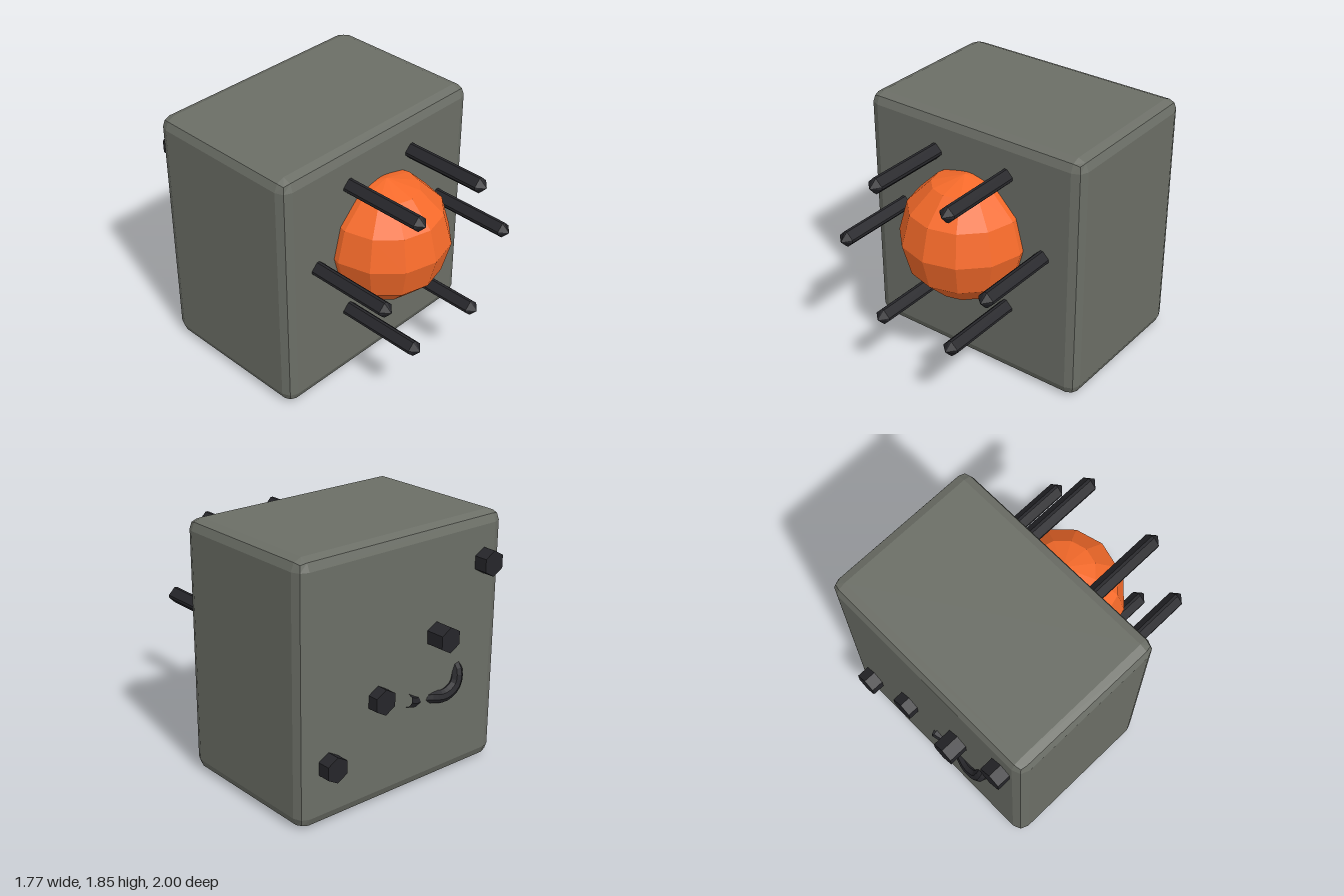
import * as THREE from 'three';
import { RoundedBoxGeometry } from 'three/addons/geometries/RoundedBoxGeometry.js';

const material = (color) => {
  const m = new THREE.MeshStandardMaterial({ color });
  m.flatShading = true;
  return m;
};

// Pointed bar along +z whose cross-section is a diamond with clipped corners
function pinGeometry(length, radius, tip) {
  const profile = [[0, 0], [radius, 0], [radius, length - tip], [radius * 0.08, length], [0, length]]
    .map(([r, h]) => new THREE.Vector2(r, h));
  const geo = new THREE.LatheGeometry(profile, 8, Math.PI / 8);
  const p = geo.attributes.position;
  for (let i = 0; i < p.count; i++) {
    const x = p.getX(i), z = p.getZ(i), r = Math.hypot(x, z);
    const wide = Math.abs(x) > Math.abs(z);
    p.setX(i, Math.sign(x) * r * (wide ? 0.97 : 0.17));
    p.setZ(i, Math.sign(z) * r * (wide ? 0.17 : 0.97));
  }
  return geo.rotateX(Math.PI / 2);
}

export function createModel() {
  const model = new THREE.Group();
  const casing = material(0x6b6e66);
  const orange = material(0xf56a2a);
  const dark = material(0x26262a);
  dark.side = THREE.DoubleSide;

  const add = (name, geo, mat, x, y, z) => {
    const mesh = new THREE.Mesh(geo, mat);
    mesh.name = name;
    mesh.position.set(x, y, z);
    model.add(mesh);
    return mesh;
  };

  // Bevelled block and the ball set into its front
  add('body', new RoundedBoxGeometry(1.77, 1.85, 1.21, 1, 0.08), casing, 0, 0.925, -0.255);
  add('ball', new THREE.SphereGeometry(0.46, 12, 6), orange, 0, 1.06, 0.4);

  // Ring of six pins around the ball
  const pin = pinGeometry(0.7, 0.06, 0.05);
  for (let i = 0; i < 6; i++) {
    const a = (i * Math.PI) / 3;
    add('frontPin', pin, dark, Math.cos(a) * 0.595, 1.06 + Math.sin(a) * 0.595, 0.3);
  }

  // Diagonal row of hexagonal studs on the back: x, y, rear z
  const studs = [[0.655, 0.425, -0.955], [0.235, 0.77, -0.94], [-0.28, 1.09, -1], [-0.705, 1.52, -0.96]];
  for (const [x, y, z] of studs) {
    const geo = new THREE.CylinderGeometry(0.0925, 0.0925, 0.25, 6).rotateX(Math.PI / 2);
    add('backStud', geo, dark, x, y, z + 0.125);
  }

  // Cable weaving in and out of the back face
  const path = new THREE.CatmullRomCurve3([
    [-0.02, 0.68, -0.86], [-0.1, 0.645, -0.835], [-0.19, 0.63, -0.8], [-0.25, 0.63, -0.83],
    [-0.36, 0.62, -0.865], [-0.46, 0.67, -0.868], [-0.495, 0.76, -0.85], [-0.49, 0.85, -0.78],
  ].map((p) => new THREE.Vector3(...p)));
  add('backCable', new THREE.TubeGeometry(path, 20, 0.048, 8), dark, 0, 0, 0);

  return model;
}
